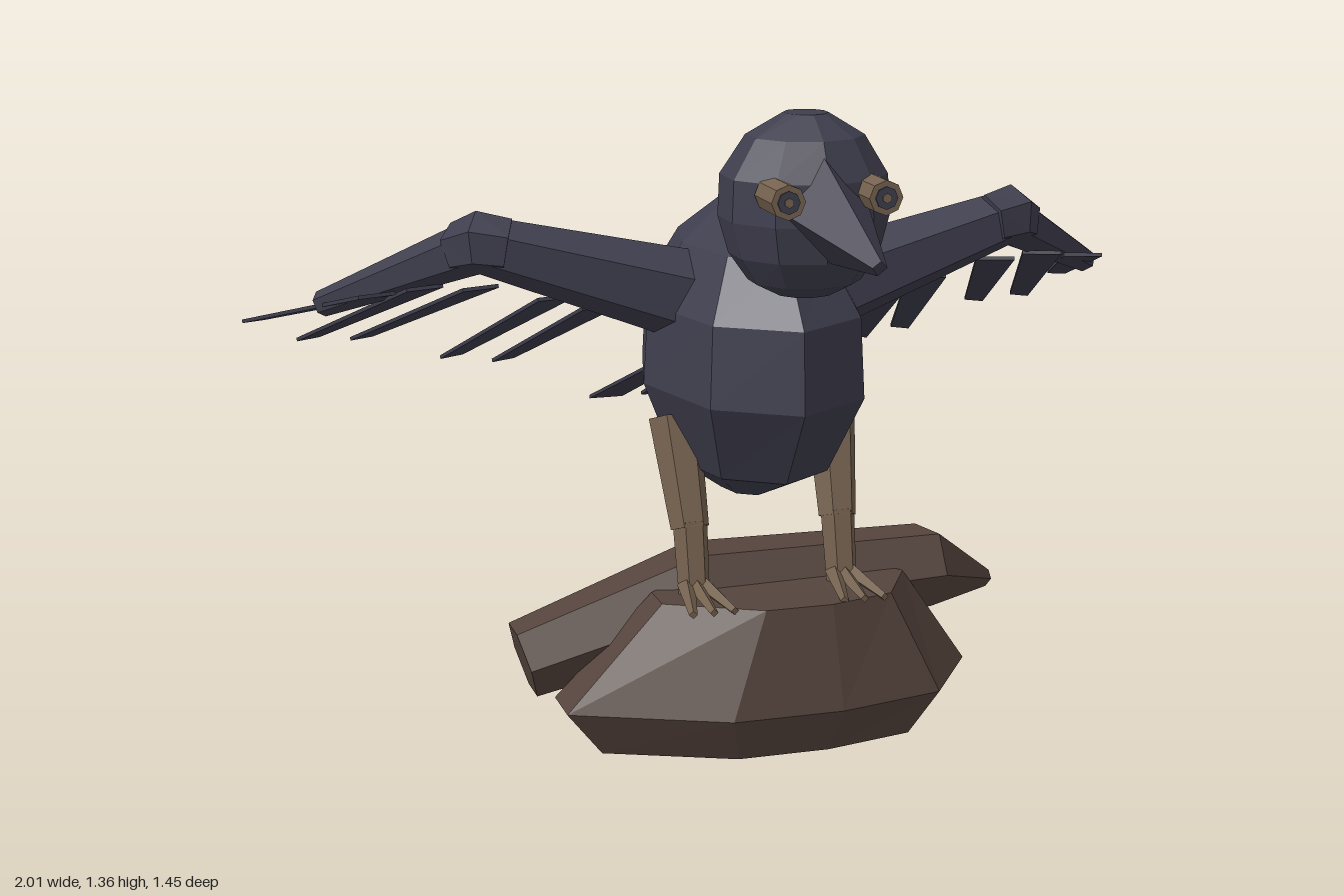
import * as THREE from 'three';

const V = (x, y, z) => new THREE.Vector3(x, y, z);
const mat = (name, color) => {
  const m = new THREE.MeshStandardMaterial({ color, flatShading: true });
  m.name = name;
  return m;
};

// Closed solid through matching cross-sections, turned outward by its signed volume
function loft(sections) {
  const tris = [], n = sections[0].length;
  for (let i = 0; i + 1 < sections.length; i++) {
    const a = sections[i], b = sections[i + 1];
    for (let j = 0; j < n; j++) {
      const k = (j + 1) % n;
      tris.push([a[j], a[k], b[k]], [a[j], b[k], b[j]]);
    }
  }
  const cap = (s, flip) => {
    const c = s.reduce((t, p) => t.add(p), V(0, 0, 0)).divideScalar(n);
    s.forEach((p, j) => {
      const q = s[(j + 1) % n];
      tris.push(flip ? [c, q, p] : [c, p, q]);
    });
  };
  cap(sections[0], true);
  cap(sections[sections.length - 1], false);
  const volume = tris.reduce((v, [a, b, c]) => v + a.dot(b.clone().cross(c)), 0);
  const pts = tris.flatMap(([a, b, c]) => (volume < 0 ? [a, c, b] : [a, b, c]));
  const g = new THREE.BufferGeometry().setFromPoints(pts);
  g.computeVertexNormals();
  return g;
}

// Stack of level elliptical rings, each [y, rx, rz, cz]
const ringStack = (rings, n, cx) => loft(rings.map(([y, rx, rz, cz]) =>
  Array.from({ length: n }, (_, j) => {
    const a = (j / n) * Math.PI * 2;
    return V(cx + rx * Math.sin(a), y, cz + rz * Math.cos(a));
  })));

// Tapered limb through stations [x, y, z, radius]
function limb(stations, n, turn = 0) {
  const p = stations.map(([x, y, z]) => V(x, y, z));
  return loft(p.map((c, i) => {
    const dir = p[Math.min(i + 1, p.length - 1)].clone().sub(p[Math.max(i - 1, 0)]).normalize();
    const ref = Math.abs(dir.y) > 0.8 ? V(0, 0, 1) : V(0, 1, 0);
    const u = ref.clone().cross(dir).normalize(), w = dir.clone().cross(u);
    return Array.from({ length: n }, (_, j) => {
      const a = turn + (j / n) * Math.PI * 2, r = stations[i][3];
      return c.clone().addScaledVector(u, r * Math.cos(a)).addScaledVector(w, r * Math.sin(a));
    });
  }));
}

// Thin tapered plate with a slanted tip
function feather(base, tip, wBase, wTip, slant) {
  const b = V(...base), t = V(...tip);
  const dir = t.clone().sub(b).normalize();
  const side = dir.clone().cross(V(0, 1, 0)).normalize();
  const up = side.clone().cross(dir);
  const section = (c, w, s) => [[-1, -1], [1, -1], [1, 1], [-1, 1]].map(([i, j]) =>
    c.clone().addScaledVector(side, i * w / 2).addScaledVector(up, j * 0.004).addScaledVector(dir, i * s));
  return loft([section(b, wBase, 0), section(t, wTip, slant)]);
}

export function createModel() {
  const model = new THREE.Group();
  const plumage = mat('dark plumage', 0x3f3e4e);
  const wood = mat('brown wood', 0x55443d);
  const skin = mat('tan skin', 0x75624f);
  const add = (name, geometry, material, parent = model) => {
    const m = new THREE.Mesh(geometry, material);
    m.name = name;
    parent.add(m);
    return m;
  };
  const group = (name) => {
    const g = new THREE.Group();
    g.name = name;
    model.add(g);
    return g;
  };

  // Body and head
  add('body', ringStack([
    [0.5, 0.055, 0.09, 0], [0.577, 0.165, 0.28, 0.013], [0.75, 0.235, 0.382, 0.03],
    [0.922, 0.225, 0.372, 0.032], [1.05, 0.15, 0.265, 0.035], [1.13, 0.055, 0.105, 0.015],
  ], 8, 0), plumage);
  add('head', ringStack([
    [0.988, 0.06, 0.055, 0.33], [1.015, 0.115, 0.11, 0.325], [1.07, 0.153, 0.15, 0.32],
    [1.145, 0.174, 0.168, 0.318], [1.23, 0.17, 0.165, 0.318], [1.31, 0.12, 0.118, 0.325],
    [1.355, 0.045, 0.05, 0.33],
  ], 10, 0.025), plumage);

  // Beak
  add('beak', loft([
    [V(0.02, 1.29, 0.44), V(-0.07, 1.18, 0.44), V(0.03, 1.07, 0.44), V(0.12, 1.18, 0.44)],
    [V(0.045, 1.122, 0.725), V(0.03, 1.108, 0.718), V(0.045, 1.09, 0.705), V(0.06, 1.108, 0.718)],
  ]), plumage);

  // Eyes
  for (const x of [-0.075, 0.125]) {
    const eye = group('eye');
    eye.position.set(x, 1.208, 0);
    add('eyeRim', new THREE.CylinderGeometry(0.035, 0.035, 0.11, 8).rotateX(Math.PI / 2), skin, eye).position.z = 0.475;
    add('iris', new THREE.CylinderGeometry(0.023, 0.023, 0.006, 8).rotateX(Math.PI / 2), plumage, eye).position.z = 0.531;
    add('pupil', new THREE.CylinderGeometry(0.01, 0.01, 0.006, 6).rotateX(Math.PI / 2), skin, eye).position.z = 0.534;
  }

  // Flight feathers: base, tip
  const flight = [
    [[0.79, 0.965, -0.01], [0.98, 0.81, -0.585]],
    [[0.69, 0.975, -0.01], [0.865, 0.77, -0.545]],
    [[0.575, 0.97, 0], [0.745, 0.765, -0.54]],
    [[0.415, 0.94, 0], [0.545, 0.715, -0.515]],
    [[0.32, 0.915, 0], [0.43, 0.705, -0.49]],
  ];
  for (const s of [1, -1]) {
    const mx = (list) => list.map(([x, ...rest]) => [s * x, ...rest]);
    const wing = group(s > 0 ? 'leftWing' : 'rightWing');
    add('upperArm', limb(mx([[0.12, 0.935, 0.07, 0.1], [0.58, 1.07, 0.05, 0.06]]), 6, 0.5), plumage, wing);
    add('elbow', limb(mx([[0.53, 1.065, 0.065, 0.06], [0.585, 1.075, 0.05, 0.066], [0.62, 1.055, 0.01, 0.058]]), 6, 0.5), plumage, wing);
    add('forearm', limb(mx([[0.57, 1.075, 0.05, 0.06], [0.88, 0.915, -0.2, 0.028]]), 6, 0.5), plumage, wing);
    for (const f of flight) {
      add('flightFeather', feather(...mx(f), 0.085, 0.045, s * 0.012), plumage, wing);
    }

    // Legs and toes
    const leg = group(s > 0 ? 'leftLeg' : 'rightLeg');
    add('thigh', limb(mx([[0.175, 0.68, 0.055, 0.056], [0.165, 0.455, 0.138, 0.042]]), 6), skin, leg);
    add('shank', limb(mx([[0.165, 0.47, 0.138, 0.038], [0.165, 0.315, 0.17, 0.034]]), 6), skin, leg);
    for (const dx of [-0.045, 0, 0.045]) {
      add('toe', limb(mx([[0.165 + dx * 0.4, 0.34, 0.17, 0.019], [0.165 + dx, 0.322, 0.32, 0.009]]), 4), skin, leg);
    }
    add('backToe', limb(mx([[0.165, 0.335, 0.16, 0.02], [0.165, 0.31, 0.09, 0.01]]), 4), skin, leg);
  }

  // Tail feathers
  const tail = group('tail');
  for (const i of [-1, 0, 1]) {
    add('tailFeather', feather([i * 0.07, 0.76, -0.2], [i * 0.133, 0.545, -0.715], 0.07, 0.09, i * -0.008), plumage, tail);
  }

  // Perch: chunky log with a branch lying along its back
  const outline = [[-0.46, 0.235], [-0.14, 0.38], [0.1, 0.38], [0.335, 0.325], [0.465, 0.13],
    [0.33, -0.04], [0.1, -0.11], [-0.18, -0.09], [-0.46, 0.12]];
  const ring = (y, cx, cz, sx, sz) => outline.map(([x, z]) => V(cx + x * sx, y, cz + (z - 0.135) * sz));
  add('log', loft([ring(0, 0, 0.135, 0.83, 0.81), ring(0.1, 0, 0.135, 1, 1), ring(0.32, 0.03, 0.15, 0.61, 0.74)]), wood);
  add('branch', limb([[-0.515, 0.17, 0.06, 0.085], [-0.12, 0.285, 0.06, 0.115], [0.4, 0.295, 0.045, 0.095],
    [0.612, 0.197, -0.12, 0.022]], 6), wood);

  return model;
}
